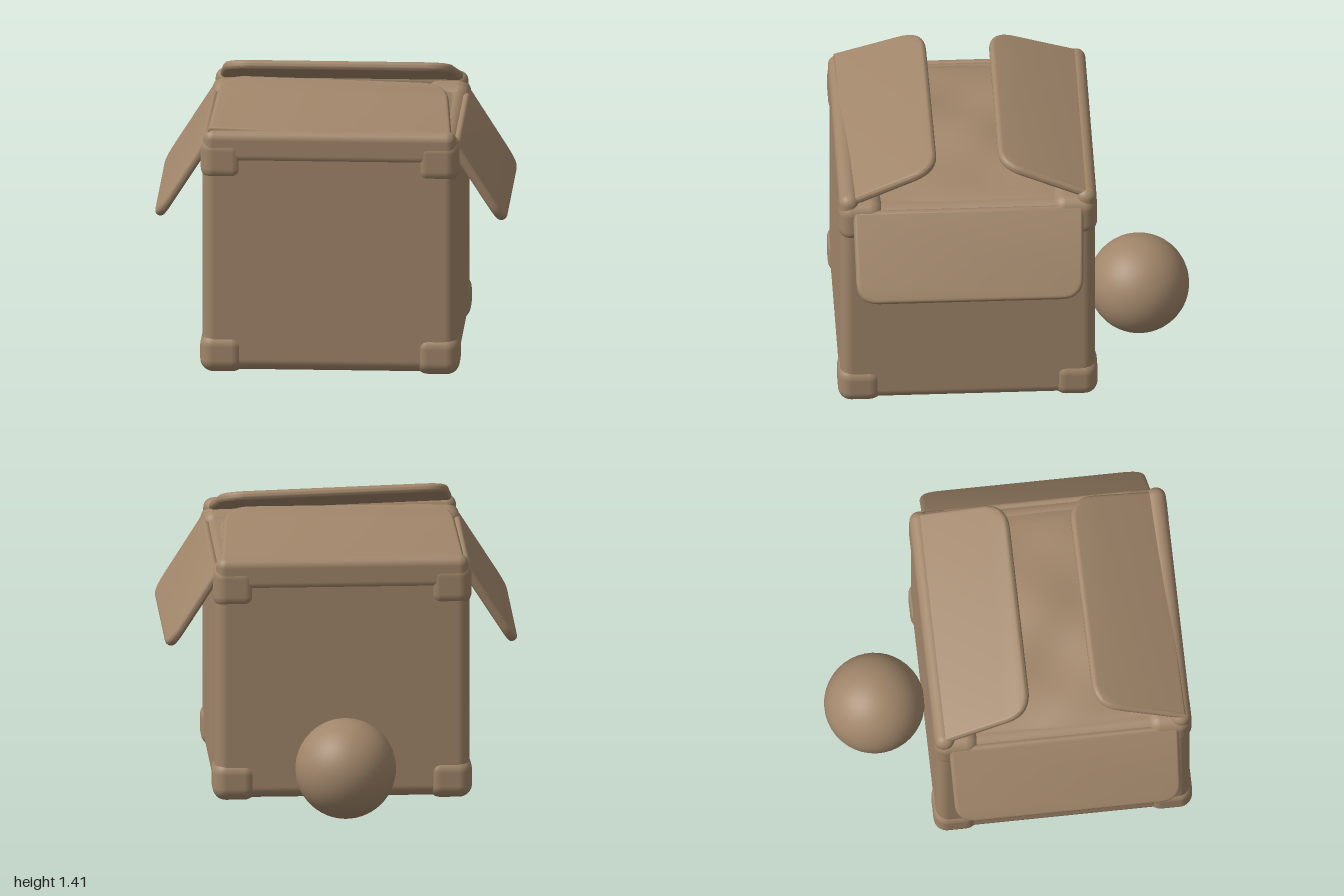
import * as THREE from 'three';
import { toCreasedNormals } from 'three/addons/utils/BufferGeometryUtils.js';
import { RoundedBoxGeometry } from 'three/addons/geometries/RoundedBoxGeometry.js';

// Flap lying in XY: hinge along y = 0, free edge at y = length with rounded corners
function flapGeometry(hingeHalf, tipHalf, length, corner) {
  const s = new THREE.Shape();
  const slant = ((hingeHalf - tipHalf) * corner) / length;
  s.moveTo(-hingeHalf, 0);
  s.lineTo(hingeHalf, 0);
  s.lineTo(tipHalf + slant, length - corner);
  s.quadraticCurveTo(tipHalf, length, tipHalf - corner, length);
  s.lineTo(-tipHalf + corner, length);
  s.quadraticCurveTo(-tipHalf, length, -tipHalf - slant, length - corner);
  s.closePath();
  const g = new THREE.ExtrudeGeometry(s, {
    depth: 0.006, bevelThickness: 0.02, bevelSize: 0.02, bevelOffset: -0.02,
    bevelSegments: 4, curveSegments: 10,
  });
  g.translate(0, 0, -0.003);
  return toCreasedNormals(g, Math.PI / 4);
}

export function createModel() {
  const cardboard = new THREE.MeshStandardMaterial({ color: 0xa1866a });
  cardboard.name = 'cardboard tan';

  const model = new THREE.Group();
  const carton = new THREE.Group();
  carton.name = 'carton';
  carton.position.z = 0.09;
  carton.rotation.y = THREE.MathUtils.degToRad(-23.5);
  model.add(carton);

  const add = (parent, name, geometry, x = 0, y = 0, z = 0) => {
    const mesh = new THREE.Mesh(geometry, cardboard);
    mesh.name = name;
    mesh.position.set(x, y, z);
    parent.add(mesh);
    return mesh;
  };
  const roundBox = (parent, name, w, h, d, r, x, y, z) =>
    add(parent, name, new RoundedBoxGeometry(w, h, d, 5, r), x, y, z);

  // Box body
  roundBox(carton, 'body', 1.25, 1.15, 1.25, 0.06, 0, 0.61, 0);

  // Reinforced corners, bottom and top
  for (const sx of [-1, 1]) for (const sz of [-1, 1]) {
    roundBox(carton, 'bottomCorner', 0.22, 0.2, 0.22, 0.065, sx * 0.527, 0.124, sz * 0.527);
    roundBox(carton, 'topCorner', 0.22, 0.22, 0.22, 0.065, sx * 0.525, 1.105, sz * 0.525);
  }

  // Lumpy packing that fills the opening
  const fill = new THREE.PlaneGeometry(1.16, 1.16, 30, 30);
  fill.rotateX(-Math.PI / 2);
  const p = fill.attributes.position;
  for (let i = 0; i < p.count; i++) {
    const x = p.getX(i), z = p.getZ(i);
    const dome = (1 - (x / 0.58) ** 2) * (1 - (z / 0.58) ** 2);
    const lumps = 0.012 * Math.sin(x * 11 + 1) * Math.cos(z * 9) + 0.008 * Math.sin(x * 7 - z * 13);
    p.setY(i, 1.175 + dome ** 0.6 * (0.065 + lumps));
  }
  fill.computeVertexNormals();
  add(carton, 'packing', fill);

  // Front and back flaps fold up over the opening from a rounded rim
  const upper = flapGeometry(0.6, 0.555, 0.47, 0.13);
  [['front', 0, 0.03], ['back', Math.PI, 0]].forEach(([side, turn, twist]) => {
    const pivot = new THREE.Group();
    pivot.name = side + 'Lid';
    pivot.rotation.y = turn;
    carton.add(pivot);
    roundBox(pivot, side + 'Rim', 1.24, 0.17, 0.1, 0.048, 0, 1.168, 0.582);
    const flap = add(pivot, side + 'Flap', upper, 0, 1.222, 0.595);
    flap.rotation.set(THREE.MathUtils.degToRad(-69.5), twist, 0);
  });

  // Side flaps hang outward
  const lower = flapGeometry(0.565, 0.555, 0.46, 0.11);
  [['left', Math.PI / 2], ['right', -Math.PI / 2]].forEach(([side, turn]) => {
    const pivot = new THREE.Group();
    pivot.name = side + 'Side';
    pivot.rotation.y = turn;
    carton.add(pivot);
    const flap = add(pivot, side + 'Flap', lower, 0, 1.172, 0.605);
    flap.rotation.x = THREE.MathUtils.degToRad(147.5);
  });

  // Ball resting behind the box
  add(model, 'ball', new THREE.SphereGeometry(0.247, 40, 28), 0.345, 0.249, -0.705);

  return model;
}
